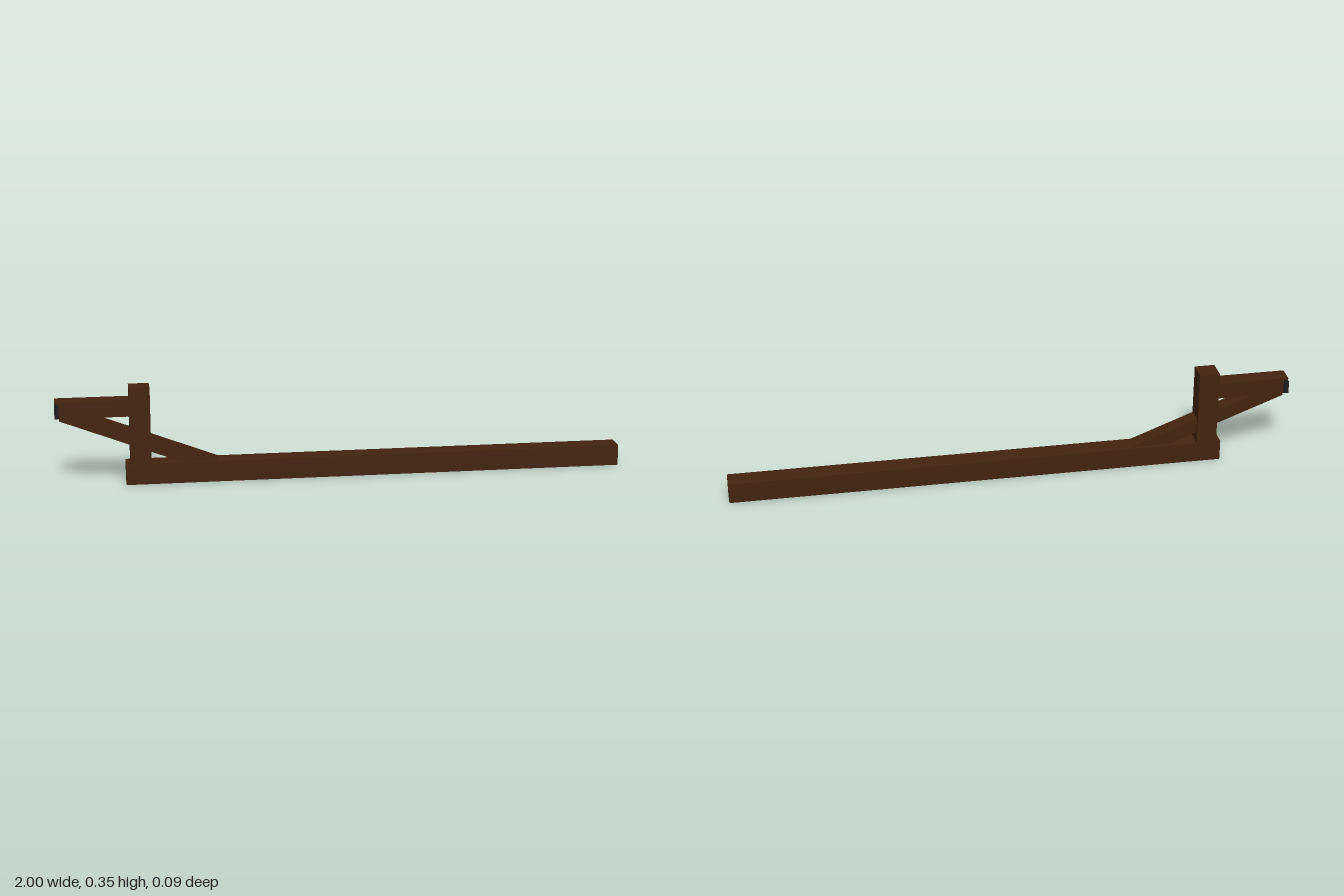
import * as THREE from 'three';

export function createModel() {
  const model = new THREE.Group();
  model.name = 'timberFrame';

  const wood = new THREE.MeshStandardMaterial({ color: 0x42230f });
  wood.name = 'dark brown wood';
  const iron = new THREE.MeshStandardMaterial({ color: 0x1c1d20 });
  iron.name = 'blackened iron';

  // Box from its x and y limits, centred on z
  function beam(name, x0, x1, y0, y1, depth, material = wood, z = 0) {
    const mesh = new THREE.Mesh(new THREE.BoxGeometry(x1 - x0, y1 - y0, depth), material);
    mesh.position.set((x0 + x1) / 2, (y0 + y1) / 2, z);
    mesh.name = name;
    model.add(mesh);
    return mesh;
  }

  beam('longBeam', -0.76, 1, 0, 0.074, 0.073);
  beam('post', -0.744, -0.672, 0.07, 0.346, 0.073);
  beam('upperArm', -1, -0.74, 0.245, 0.304, 0.06);

  // Diagonal brace: a sloping timber running through the post,
  // placed by its lower edge, with both ends sunk into the other beams
  const start = new THREE.Vector2(-0.985, 0.236);
  const slope = -Math.atan(0.3875);
  const length = 0.57, thickness = 0.05;
  const brace = new THREE.Mesh(new THREE.BoxGeometry(length, thickness, 0.054), wood);
  brace.geometry.translate(length / 2, thickness / 2, 0);
  brace.position.set(start.x, start.y, 0);
  brace.rotation.z = slope;
  brace.name = 'diagonalBrace';
  model.add(brace);

  // Small iron cheek plates on both sides of the arm's tip
  for (const side of [-1, 1]) {
    beam(side > 0 ? 'frontPlate' : 'backPlate', -1, -0.985, 0.25, 0.296, 0.014, iron, side * 0.0355);
  }

  return model;
}
